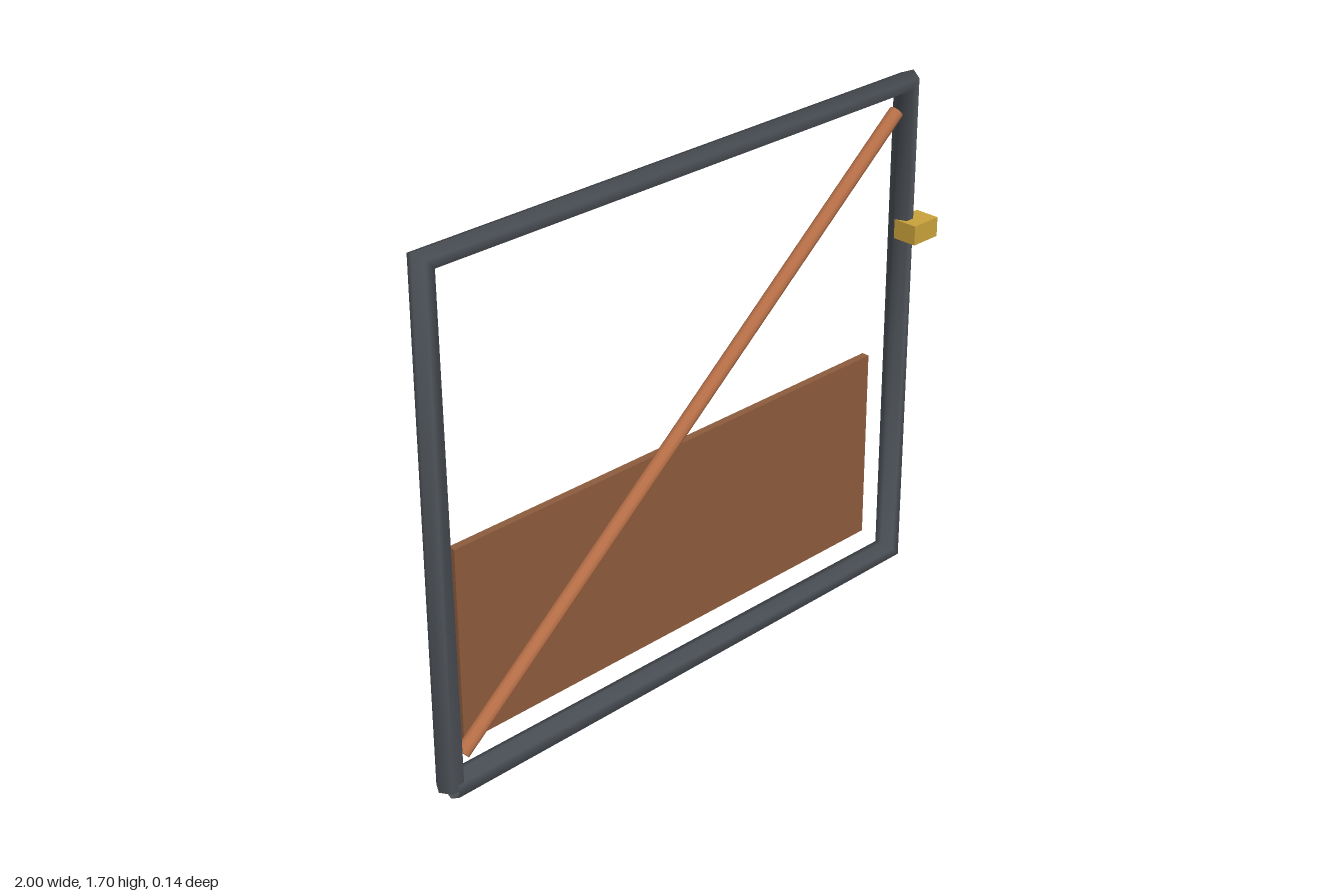
import * as THREE from 'three';

const material = (name, color, side = THREE.FrontSide) => {
  const m = new THREE.MeshStandardMaterial({ color, side });
  m.name = name;
  return m;
};

const Z = -0.011; // mid-plane of the gate frame

// Straight-sided rectangular path with one tube ring per corner
class FramePath extends THREE.Curve {
  constructor(points) {
    super();
    this.points = points;
  }
  getPoint(t, target = new THREE.Vector3()) {
    const n = this.points.length - 1;
    const i = Math.min(Math.floor(t * n), n - 1);
    return target.lerpVectors(this.points[i], this.points[i + 1], t * n - i);
  }
  getPointAt(t, target) {
    return this.getPoint(t, target);
  }
  // Rings stay upright on the frame plane and turn halfway at each corner
  computeFrenetFrames() {
    const p = this.points;
    const frames = { tangents: [], normals: [], binormals: [] };
    p.forEach((point, i) => {
      const t = new THREE.Vector3();
      if (i > 0) t.add(point.clone().sub(p[i - 1]).normalize());
      if (i < p.length - 1) t.add(p[i + 1].clone().sub(point).normalize());
      t.normalize();
      frames.tangents.push(t);
      frames.normals.push(new THREE.Vector3(-t.y, t.x, 0));
      frames.binormals.push(new THREE.Vector3(0, 0, 1));
    });
    return frames;
  }
}

export function createModel() {
  const group = new THREE.Group();
  const steel = material('dark steel', 0x4a4f55, THREE.DoubleSide);
  const copper = material('copper brown', 0xb87048);
  const wood = material('panel brown', 0x8b5a3c);
  const brass = material('brass', 0xc8a03a);

  const add = (name, geometry, mat, x = 0, y = 0, z = 0) => {
    const mesh = new THREE.Mesh(geometry, mat);
    mesh.name = name;
    mesh.position.set(x, y, z);
    group.add(mesh);
    return mesh;
  };

  // Hexagonal tube frame, open where its two ends meet at the lower corner
  const corners = [[-0.957, 0.043], [-0.957, 1.671], [0.922, 1.671], [0.922, 0.044], [-0.957, 0.043]]
    .map(([x, y]) => new THREE.Vector3(x, y, Z));
  add('frame', new THREE.TubeGeometry(new FramePath(corners), 4, 0.0425, 6, false), steel);

  // Diagonal brace
  const from = new THREE.Vector3(-0.908, 0.134, Z);
  const to = new THREE.Vector3(0.88, 1.586, Z);
  const along = to.clone().sub(from);
  const mid = from.clone().add(to).multiplyScalar(0.5);
  const brace = add('diagonalBrace', new THREE.CylinderGeometry(0.023, 0.023, along.length(), 10),
    copper, mid.x, mid.y, mid.z);
  brace.quaternion.setFromUnitVectors(new THREE.Vector3(0, 1, 0), along.normalize());

  // Lower panel on the back and latch on the front
  add('lowerPanel', new THREE.BoxGeometry(1.706, 0.64, 0.025), wood, -0.017, 0.45, -0.06);
  add('latch', new THREE.BoxGeometry(0.106, 0.063, 0.083), brass, 0.945, 1.2, 0.031);

  return group;
}
